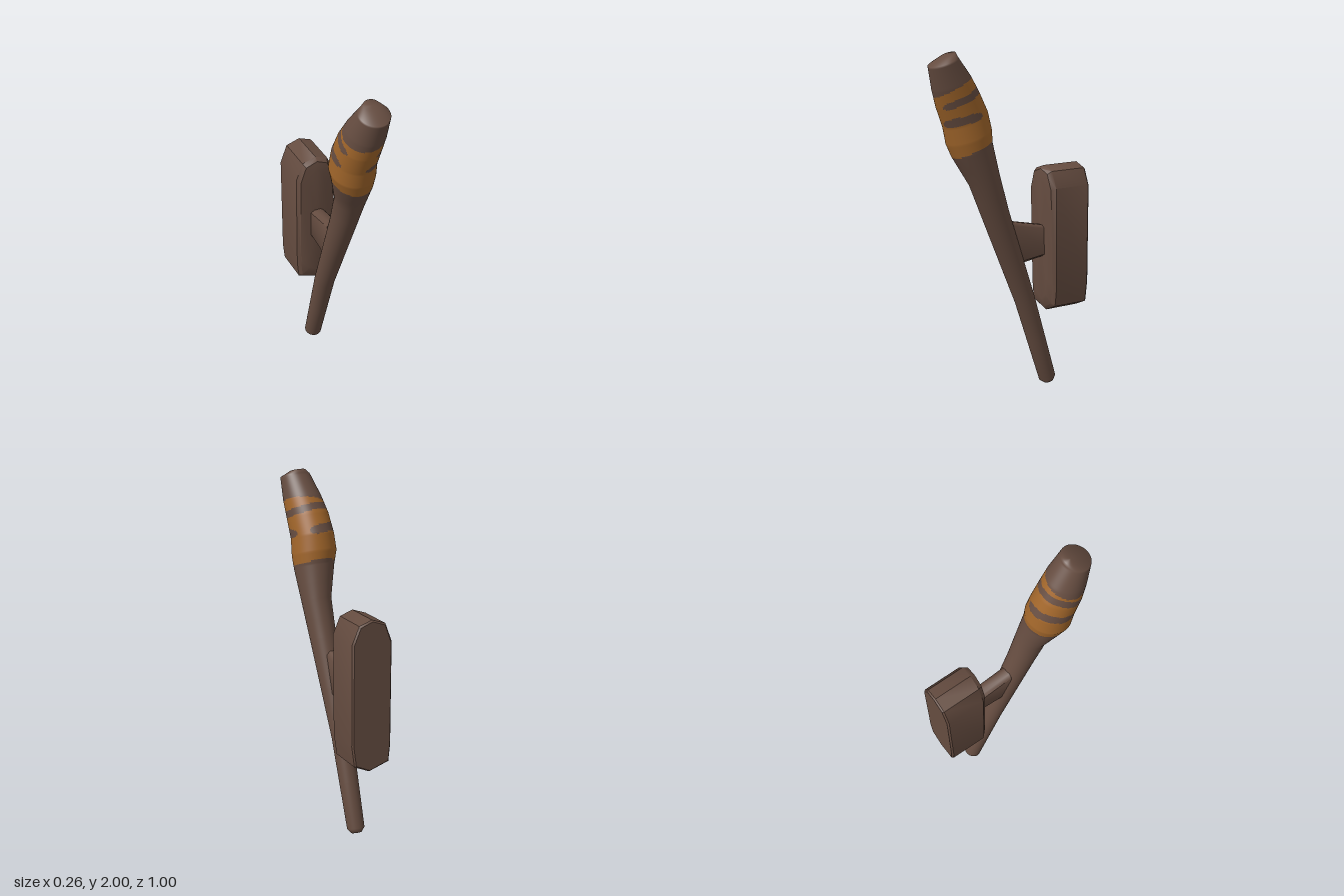
import * as THREE from 'three';
import { toCreasedNormals } from 'three/addons/utils/BufferGeometryUtils.js';

const wood = new THREE.MeshStandardMaterial({ color: 0x654c40 });
wood.name = 'dark wood';
const wrap = new THREE.MeshStandardMaterial({ color: 0xa0652a });
wrap.name = 'orange wrap';

// Skins a list of rings (counter-clockwise about the loft direction) and closes both ends.
// pick(row, column) chooses material 0 or 1 for each quad.
function loft(rings, pick = () => 0) {
  const n = rings[0].length;
  const pos = rings.flat().flatMap((p) => [p.x, p.y, p.z]);
  const faces = [[], []];
  for (let r = 0; r < rings.length - 1; r++) {
    for (let i = 0; i < n; i++) {
      const a = r * n + i, b = r * n + (i + 1) % n;
      faces[pick(r, i)].push(a, b, b + n, a, b + n, a + n);
    }
  }
  [0, rings.length - 1].forEach((r) => {
    const c = new THREE.Vector3();
    rings[r].forEach((p) => c.addScaledVector(p, 1 / n));
    const k = pos.length / 3;
    pos.push(c.x, c.y, c.z);
    for (let i = 0; i < n; i++) {
      const a = r * n + i, b = r * n + (i + 1) % n;
      faces[0].push(...(r === 0 ? [k, b, a] : [k, a, b]));
    }
  });
  const g = new THREE.BufferGeometry();
  g.setAttribute('position', new THREE.Float32BufferAttribute(pos, 3));
  g.setIndex([...faces[0], ...faces[1]]);
  if (faces[1].length) {
    g.addGroup(0, faces[0].length, 0);
    g.addGroup(faces[0].length, faces[1].length, 1);
  }
  g.computeVertexNormals();
  return g;
}

function part(name, geometry, material) {
  const m = new THREE.Mesh(geometry, material);
  m.name = name;
  return m;
}

// Leaning torch: x, y, z of the section centre, half width, half depth, rows to the next section
const SECTIONS = [
  [0, 0.011, -0.31, 0.03, 0.03, 1],
  [0, 0.035, -0.30, 0.05, 0.05, 2],
  [0.005, 0.54, -0.133, 0.06, 0.06, 2],
  [0.02, 1.07, 0.078, 0.075, 0.08, 2],
  [0.025, 1.28, 0.156, 0.085, 0.092, 2],
  [0.005, 1.455, 0.224, 0.115, 0.122, 8],
  [-0.003, 1.53, 0.24, 0.128, 0.135, 14],
  [-0.003, 1.625, 0.262, 0.122, 0.134, 16],
  [0.003, 1.733, 0.312, 0.118, 0.128, 16],
  [0.015, 1.828, 0.358, 0.108, 0.115, 12],
  [0.03, 1.95, 0.42, 0.085, 0.085, 1],
  [0.03, 1.985, 0.387, 0.045, 0.042, 1],
];
const LEAN_Y = 0.943, LEAN_Z = 0.332, SIDES = 96;

// Stripe test: stripe runs from angle a0 to a1 (degrees) and narrows at its ends
function inStripe(deg, s, a0, a1, centre, half) {
  const d = ((deg - a0) % 360 + 360) % 360;
  if (d > a1 - a0) return false;
  const taper = Math.min(1, Math.min(d, a1 - a0 - d) / 25 + 0.35);
  return Math.abs(s - centre) < half * taper;
}

// Orange wrap with bare wood showing between its turns; 0 is left, 90 front, 180 right, 270 back
function isWrap(s, deg) {
  const a = THREE.MathUtils.degToRad(deg);
  const low = 1.528 - 0.012 * Math.sin(a) + 0.005 * Math.sin(3 * a);
  const high = 1.885 + 0.02 * Math.cos(a) - 0.012 * Math.sin(a);
  if (s < low || s > high) return false;
  const upper = 1.825 - 0.018 * Math.sin(a) + 0.006 * Math.sin(2 * a);
  const lower = 1.71 + 0.008 * Math.sin(2 * a);
  if (inStripe(deg, s, 150, 430, upper, 0.02)) return false;
  if (inStripe(deg, s, 155, 301, lower, 0.025)) return false;
  return !inStripe(deg, s, 337, 450, lower, 0.024);
}

function torchGeometry() {
  const rings = [], along = [];
  const addRing = ([x, y, z, w, d]) => {
    along.push((z + 0.3) * LEAN_Z + (y - 0.035) * LEAN_Y);
    rings.push(Array.from({ length: SIDES }, (_, i) => {
      const a = -i / SIDES * Math.PI * 2;
      const f = d * Math.sin(a);
      return new THREE.Vector3(x + w * Math.cos(a), y - f * LEAN_Z, z + f * LEAN_Y);
    }));
  };
  SECTIONS.forEach((s, k) => {
    const next = SECTIONS[k + 1];
    if (!next) return addRing(s);
    for (let j = 0; j < s[5]; j++) addRing(s.map((v, q) => v + (next[q] - v) * j / s[5]));
  });
  return loft(rings, (r, i) =>
    isWrap((along[r] + along[r + 1]) / 2, 360 - (i + 0.5) / SIDES * 360) ? 1 : 0);
}

// Wall plate: chamfered upright block with softened edges and a slightly swollen front
function plateGeometry() {
  const outline = [[0.02, 0.46], [0.11, 0.5], [0.127, 0.62], [0.127, 1.2], [0.085, 1.295],
    [0.01, 1.322], [-0.07, 1.295], [-0.11, 1.19], [-0.11, 0.6], [-0.1, 0.5]];
  const ring = (z, inset, swell) => outline.map(([x, y]) => new THREE.Vector3(
    0.01 + (x - 0.01) * (1 - inset / 0.12), 0.89 + (y - 0.89) * (1 - inset / 0.43),
    z + swell * (y - 0.5)));
  return toCreasedNormals(loft([
    ring(-0.5, 0.008, 0), ring(-0.49, 0, 0), ring(-0.275, 0, 0.015),
    ring(-0.258, 0.018, 0.025), ring(-0.246, 0.07, 0.02),
  ]), 0.6);
}

// Bracket: flat rounded arm widening towards the torch
function bracketGeometry() {
  const outline = [[-0.5, -1], [0.5, -1], [1, -0.85], [1, 0.85], [0.5, 1], [-0.5, 1], [-1, 0.85], [-1, -0.85]];
  const ring = (z, cy, hx, hy) => outline.map(([x, y]) =>
    new THREE.Vector3(0.008 + x * hx, cy + y * hy, z));
  return toCreasedNormals(loft([ring(-0.29, 0.882, 0.04, 0.083), ring(-0.02, 0.888, 0.04, 0.132)]), 0.9);
}

export function createModel() {
  const group = new THREE.Group();
  group.name = 'wallTorch';
  group.add(
    part('torch', torchGeometry(), [wood, wrap]),
    part('wallPlate', plateGeometry(), wood),
    part('bracket', bracketGeometry(), wood),
  );
  return group;
}
